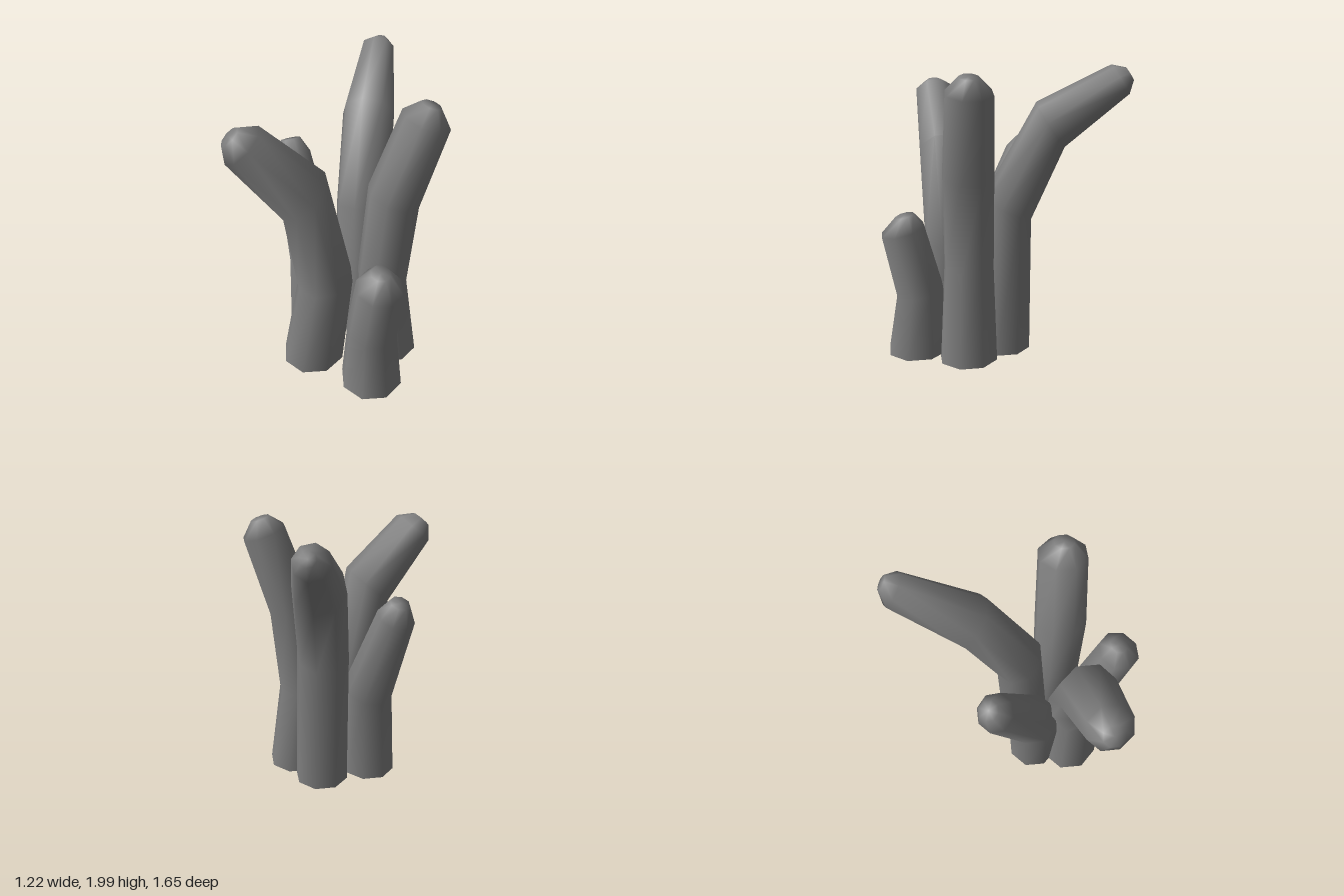
import * as THREE from 'three';

const SIDES = 8;
const UP = new THREE.Vector3(0, 1, 0);

// Each stalk: rings of [x, y, z, radius] from the open foot to the small cap ring
const STALKS = {
  backStalk: [
    [0.03, 0, 0.035, 0.197], [0.01, 1.03, 0.0, 0.185], [-0.035, 1.6, -0.285, 0.18],
    [-0.105, 1.9, -0.735, 0.115], [-0.1, 1.935, -0.795, 0.05],
  ],
  frontRightStalk: [
    [-0.205, 0.02, 0.49, 0.22], [-0.105, 0.71, 0.46, 0.195], [-0.2, 1.39, 0.52, 0.195],
    [-0.495, 1.785, 0.69, 0.147], [-0.55, 1.845, 0.72, 0.07],
  ],
  backRightStalk: [
    [-0.295, 0.02, 0.215, 0.195], [-0.285, 0.7, 0.205, 0.18],
    [-0.49, 1.35, 0.0, 0.13], [-0.515, 1.455, -0.03, 0.07],
  ],
  leftStalk: [
    [0.28, 0, 0.22, 0.205], [0.225, 0.65, 0.225, 0.175], [0.285, 1.29, 0.205, 0.178],
    [0.455, 1.83, 0.14, 0.158], [0.48, 1.925, 0.135, 0.065],
  ],
  frontLeftStalk: [
    [0.265, 0.02, 0.595, 0.215], [0.26, 0.46, 0.57, 0.172],
    [0.33, 0.905, 0.655, 0.155], [0.33, 1.005, 0.64, 0.065],
  ],
};

// Tapered tube with an open flat foot and a blunt closed tip
function stalkGeometry(rings) {
  const centres = rings.map(([x, y, z]) => new THREE.Vector3(x, y, z));
  const last = rings.length - 1;
  const positions = [];
  const index = [];

  rings.forEach(([, , , radius], i) => {
    // Each bend ring is square to the segment above it; shoulder and cap follow the last long one
    const from = Math.min(i, last - 2);
    const axis = i === 0 ? UP : centres[from + 1].clone().sub(centres[from]).normalize();
    const turn = new THREE.Quaternion().setFromUnitVectors(UP, axis);
    for (let s = 0; s < SIDES; s++) {
      const a = (s / SIDES) * Math.PI * 2;
      const p = new THREE.Vector3(Math.cos(a) * radius, 0, Math.sin(a) * radius);
      p.applyQuaternion(turn).add(centres[i]);
      positions.push(p.x, p.y, p.z);
    }
  });
  positions.push(...centres[last].toArray());

  const tip = rings.length * SIDES;
  for (let s = 0; s < SIDES; s++) {
    const n = (s + 1) % SIDES;
    for (let i = 0; i < last; i++) {
      const lo = i * SIDES;
      const hi = lo + SIDES;
      index.push(lo + s, hi + s, lo + n, hi + s, hi + n, lo + n);
    }
    index.push(tip, last * SIDES + n, last * SIDES + s);
  }

  const geometry = new THREE.BufferGeometry();
  geometry.setAttribute('position', new THREE.Float32BufferAttribute(positions, 3));
  geometry.setIndex(index);
  geometry.computeVertexNormals();
  return geometry;
}

export function createModel() {
  const group = new THREE.Group();
  group.name = 'stalkCluster';
  // The feet are open, so the inner walls show too
  const material = new THREE.MeshStandardMaterial({ color: 0x808080, side: THREE.DoubleSide });
  for (const [name, rings] of Object.entries(STALKS)) {
    const mesh = new THREE.Mesh(stalkGeometry(rings), material);
    mesh.name = name;
    group.add(mesh);
  }
  return group;
}
